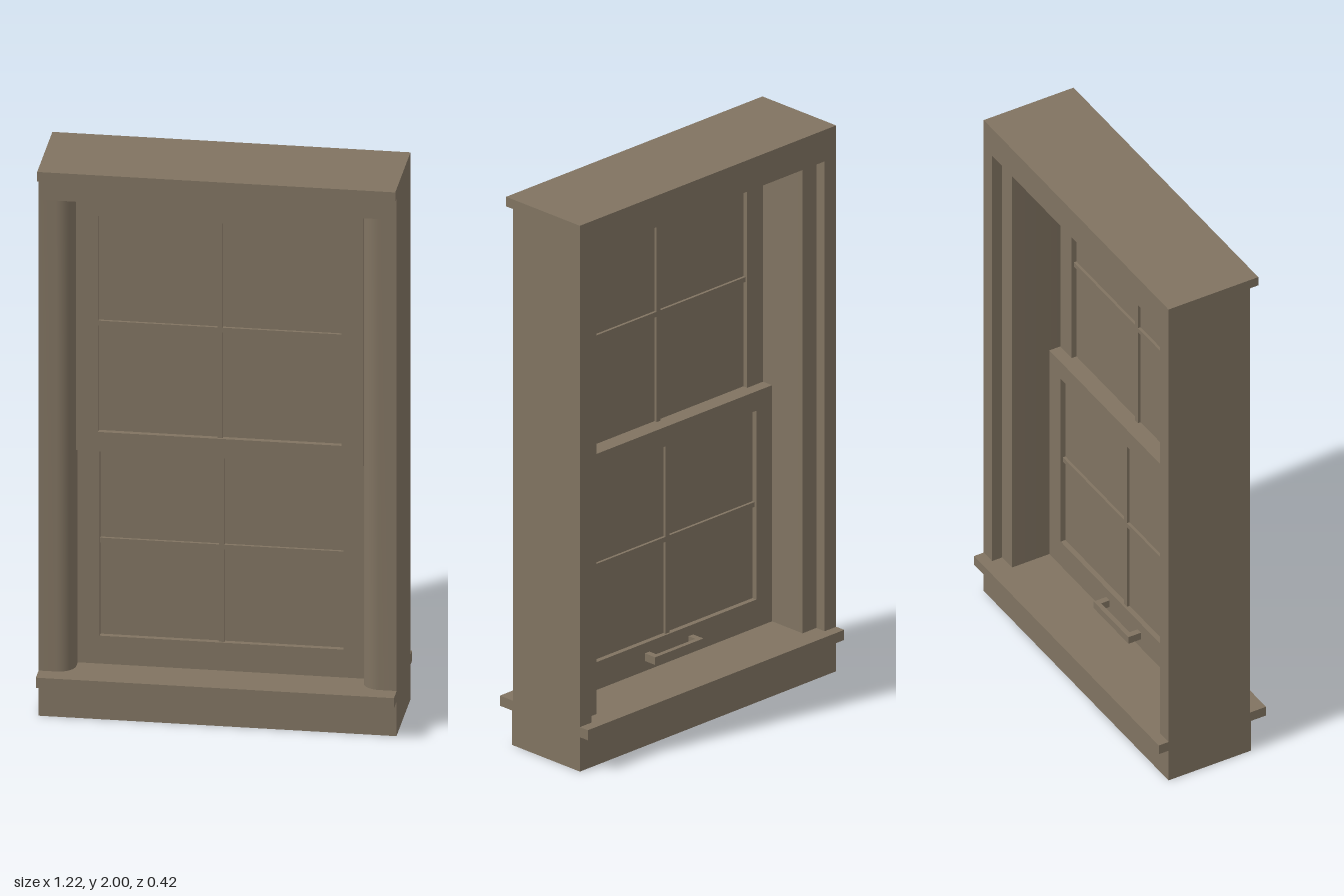
import * as THREE from 'three';
import { toCreasedNormals } from 'three/addons/utils/BufferGeometryUtils.js';

export function createModel() {
  const window_ = new THREE.Group();
  window_.name = 'sashWindow';
  const paint = new THREE.MeshStandardMaterial({ color: 0x807361 });
  paint.name = 'taupe paint';

  // Box given by its min and max on each axis
  const box = (parent, name, x0, x1, y0, y1, z0, z1) => {
    const geo = new THREE.BoxGeometry(x1 - x0, y1 - y0, z1 - z0);
    geo.translate((x0 + x1) / 2, (y0 + y1) / 2, (z0 + z1) / 2);
    const mesh = new THREE.Mesh(geo, paint);
    mesh.name = name;
    parent.add(mesh);
    return mesh;
  };

  const W = 0.61, IN = 0.49, STEP = 0.555;
  const BACK = -0.172, FRONT = 0.147;
  const SILL = 0.163, HEAD = 1.885;

  // Frame: base, sill board, head and drip cap
  box(window_, 'base', -W, W, 0, 0.126, BACK, 0.152);
  box(window_, 'sill', -W, W, 0.126, SILL, -0.21, 0.21);
  box(window_, 'head', -W, W, HEAD, 2, BACK, FRONT);
  box(window_, 'dripCap', -W, W, 1.965, 2, FRONT, 0.18);

  // Jambs: stepped at the back, rounded at the front inner edge
  for (const s of [-1, 1]) {
    const p = new THREE.Shape();
    p.moveTo(s * W, -FRONT);
    p.lineTo(s * W, -BACK);
    p.lineTo(s * STEP, -BACK);
    p.lineTo(s * STEP, 0.132);
    p.lineTo(s * IN, 0.132);
    p.lineTo(s * IN, -0.09);
    for (let i = 1; i <= 10; i++) {
      const a = (i / 10) * Math.PI / 2;
      p.lineTo(s * (0.55 - 0.06 * Math.cos(a)), -(0.09 + (FRONT - 0.09) * Math.sin(a)));
    }
    let geo = new THREE.ExtrudeGeometry(p, { depth: HEAD - SILL, bevelEnabled: false });
    geo.rotateX(-Math.PI / 2);
    geo.translate(0, SILL, 0);
    geo = toCreasedNormals(geo, 0.6);
    const jamb = new THREE.Mesh(geo, paint);
    jamb.name = s > 0 ? 'leftJamb' : 'rightJamb';
    window_.add(jamb);
  }

  // Sash: frame with an opening, glass pane and crossed glazing bars
  const addSash = (name, y0, y1, g0, g1, z0, z1) => {
    const sash = new THREE.Group();
    sash.name = name;
    const G = 0.415;
    const rect = (path, x, a, b) => {
      path.moveTo(-x, a);
      path.lineTo(x, a);
      path.lineTo(x, b);
      path.lineTo(-x, b);
      path.closePath();
      return path;
    };
    const outline = rect(new THREE.Shape(), IN, y0, y1);
    outline.holes.push(rect(new THREE.Path(), G, g0, g1));
    const geo = new THREE.ExtrudeGeometry(outline, { depth: z1 - z0, bevelEnabled: false });
    geo.translate(0, 0, z0);
    const frame = new THREE.Mesh(geo, paint);
    frame.name = 'sashFrame';
    sash.add(frame);

    const zc = (z0 + z1) / 2, yc = (g0 + g1) / 2;
    box(sash, 'glass', -G, G, g0, g1, zc - 0.003, zc + 0.003);
    box(sash, 'verticalBar', -0.009, 0.009, g0, g1, zc - 0.014, zc + 0.014);
    box(sash, 'horizontalBar', -G, G, yc - 0.009, yc + 0.009, zc - 0.013, zc + 0.013);
    window_.add(sash);
  };
  addSash('upperSash', 0.957, HEAD, 1.028, 1.817, 0.057, 0.1);
  addSash('lowerSash', SILL, 1.028, 0.265, 0.957, 0.014, 0.057);

  // Lift handle on the inside of the lower sash
  const handle = new THREE.Group();
  handle.name = 'liftHandle';
  box(handle, 'grip', -0.115, 0.115, 0.2, 0.228, -0.035, -0.018);
  for (const s of [-1, 1]) {
    box(handle, 'handlePost', s * 0.104 - 0.011, s * 0.104 + 0.011, 0.2, 0.228, -0.018, 0.014);
  }
  window_.add(handle);

  return window_;
}
